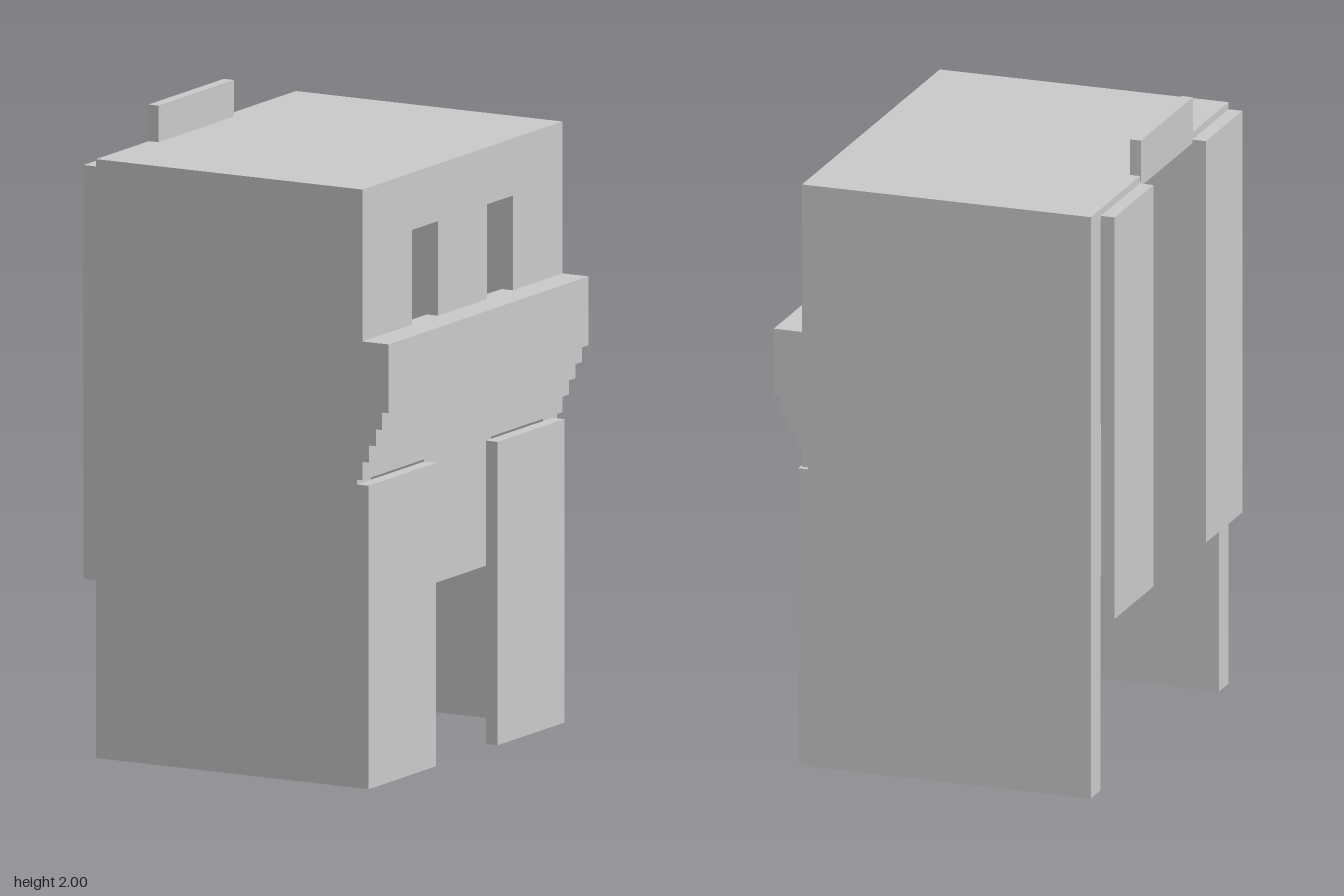
import * as THREE from 'three';

const material = new THREE.MeshStandardMaterial({ color: 0xcccccc, flatShading: true });

export function createModel() {
  const model = new THREE.Group();

  // Axis-aligned slab given by its limits
  const slab = (name, x0, x1, y0, y1, z0, z1) => {
    const mesh = new THREE.Mesh(new THREE.BoxGeometry(x1 - x0, y1 - y0, z1 - z0), material);
    mesh.position.set((x0 + x1) / 2, (y0 + y1) / 2, (z0 + z1) / 2);
    mesh.name = name;
    model.add(mesh);
  };

  // Shell: two side walls and the roof
  slab('leftSideWall', -0.5, 0.43, 0, 1.85, 0.53, 0.615);
  slab('rightSideWall', -0.5, 0.43, 0, 1.85, -0.615, -0.53);
  slab('roof', -0.5, 0.45, 1.85, 1.885, -0.615, 0.615);

  // Upper facade: piers between two windows, and the lintel over them
  for (const [z0, z1] of [[-0.615, -0.31], [-0.15, 0.15], [0.31, 0.615]]) {
    slab('windowPier', 0.41, 0.45, 1.405, 1.705, z0, z1);
  }
  slab('windowLintel', 0.41, 0.45, 1.705, 1.85, -0.615, 0.615);

  // Stepped cornice, one profile extruded along the facade
  const steps = [[0.45, 0.97], [0.473, 1.028], [0.497, 1.082], [0.52, 1.135], [0.543, 1.19]];
  const profile = new THREE.Shape();
  profile.moveTo(0.41, 0.97);
  steps.forEach(([x, y], i) => {
    profile.lineTo(x, y);
    profile.lineTo(x, i < steps.length - 1 ? steps[i + 1][1] : 1.407);
  });
  profile.lineTo(0.41, 1.407);
  const cornice = new THREE.Mesh(
    new THREE.ExtrudeGeometry(profile, { depth: 1.23, bevelEnabled: false }), material);
  cornice.position.z = -0.615;
  cornice.name = 'steppedCornice';
  model.add(cornice);

  // Ground-floor panels either side of the doorway
  slab('leftDoorPanel', 0.43, 0.472, 0, 0.955, 0.2, 0.615);
  slab('rightDoorPanel', 0.43, 0.472, 0, 0.955, -0.59, -0.178);

  // Panels hanging over the doorway and inside the passage
  slab('doorHeadPanel', 0.385, 0.428, 0.56, 1.02, -0.215, 0.2);
  slab('innerPanel', -0.36, -0.32, 0.56, 1.02, -0.215, 0.2);

  // Rear panels and the parapet between them
  slab('rearLeftPanel', -0.545, -0.5, 0.56, 1.862, 0.29, 0.615);
  slab('rearRightPanel', -0.545, -0.5, 0.56, 1.862, -0.525, -0.178);
  slab('parapet', -0.502, -0.466, 1.87, 2, -0.175, 0.29);

  return model;
}
